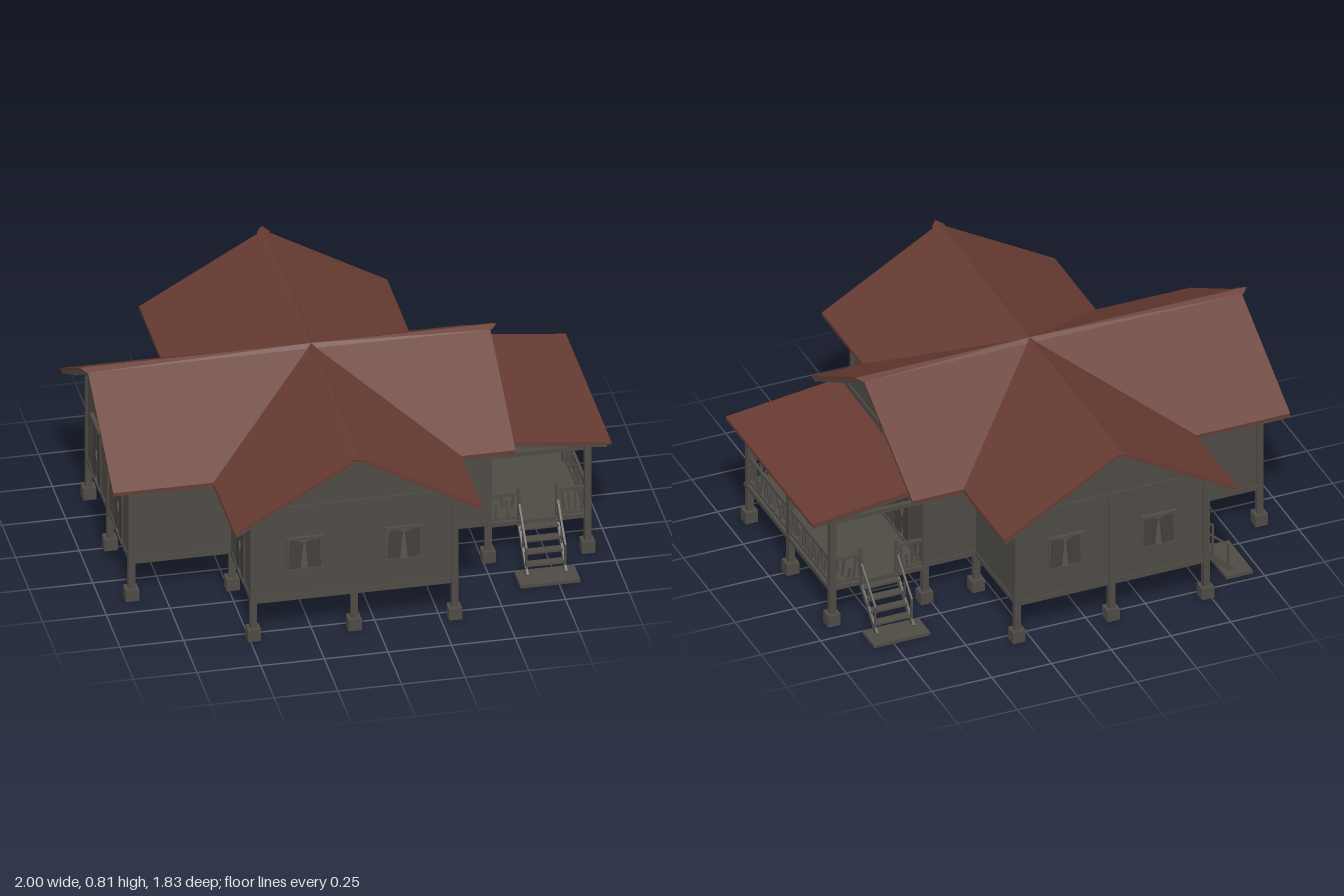
import * as THREE from 'three';
import { ConvexGeometry } from 'three/addons/geometries/ConvexGeometry.js';

const mat = (name, color) => {
  const m = new THREE.MeshStandardMaterial({ color });
  m.name = name;
  return m;
};
const V = (x, y, z) => new THREE.Vector3(x, y, z);

export function createModel() {
  const house = new THREE.Group();
  house.name = 'stiltHouse';
  const wood = mat('weatheredWood', 0x4e4b45);
  const shutterWood = mat('darkShutterWood', 0x43403b);
  const tile = mat('redBrownRoof', 0x673b32);

  const add = (parent, name, geo, material) => {
    const m = new THREE.Mesh(geo, material);
    m.name = name;
    parent.add(m);
    return m;
  };
  const box = (parent, name, w, h, d, x, y, z, material = wood) => {
    const m = add(parent, name, new THREE.BoxGeometry(w, h, d), material);
    m.position.set(x, y, z);
    return m;
  };
  // Square beam between two points
  const beam = (parent, name, a, b, w, h = w, material = wood) => {
    const m = add(parent, name, new THREE.BoxGeometry(w, h, a.distanceTo(b)), material);
    m.position.addVectors(a, b).multiplyScalar(0.5);
    m.quaternion.setFromRotationMatrix(new THREE.Matrix4().lookAt(b, a, V(0, 1, 0)));
  };
  const plate = (pts, depth, holes = []) => {
    const s = new THREE.Shape(pts.map(p => new THREE.Vector2(...p)));
    holes.forEach(h => s.holes.push(new THREE.Path(h.map(p => new THREE.Vector2(...p)))));
    return new THREE.ExtrudeGeometry(s, { depth, bevelEnabled: false }).translate(0, 0, -depth / 2);
  };
  // Flat slab hanging down from its top corners
  const slab = (parent, name, top, t, material) => add(parent, name,
    new ConvexGeometry([...top, ...top.map(p => V(p.x, p.y - t, p.z))]), material);

  // Plan: a cross of two wings
  const CX = -0.09, H = 0.395, L = -0.88, R = 0.52, F = 0.79;
  const W = CX - H, E = CX + H;
  const floorY = 0.16, wallTop = 0.568;

  const floor = add(house, 'floor', plate([[L, -H], [W, -H], [W, -F], [E, -F], [E, -H], [R, -H],
    [R, H], [E, H], [E, F], [W, F], [W, H], [L, H]], 0.018), wood);
  floor.rotation.x = Math.PI / 2;
  floor.position.y = floorY;
  box(house, 'porchFloor', 0.41, 0.018, 0.82, 0.72, floorY, 0);

  // Ragged pair of shutters in an opening
  const opening = (wall, u, tall) => {
    const y0 = tall ? 0.18 : 0.29, y1 = tall ? 0.44 : 0.43, w = 0.065, h = y1 - y0;
    box(wall, 'lintel', 0.15, 0.01, 0.03, u, y1, 0.006);
    box(wall, 'windowSill', 0.15, 0.01, 0.024, u, y0, 0.004);
    for (const s of [-1, 1]) {
      box(wall, 'windowFrame', 0.01, h, 0.02, u + s * w, (y0 + y1) / 2, 0);
      const leaf = tall
        ? [[-w, 0], [-0.012, 0.01], [-0.004, h * 0.35], [-0.018, h * 0.5], [-0.003, h * 0.7], [-0.006, h * 0.97], [-0.055, h * 0.93], [-w, h * 0.5]]
        : [[-w, 0.004], [-0.016, 0], [-0.004, h * 0.85], [-0.02, h * 0.88], [-0.055, h * 0.97]];
      const pts = leaf.map(([x, y]) => [s * -x, y]);
      add(wall, 'shutter', plate(pts, 0.006), shutterWood).position.set(u, y0, 0.008);
    }
    return [[u - w, y0], [u + w, y0], [u + w, y1], [u - w, y1]];
  };

  const wall = (name, x, z, turn, half, gable, openings = [], tall = true) => {
    const g = new THREE.Group();
    g.name = name;
    g.position.set(x, 0, z);
    g.rotation.y = turn * Math.PI / 2;
    house.add(g);
    const pts = [[-half, floorY], [half, floorY], [half, wallTop]];
    if (gable) pts.push([0, 0.793]);
    pts.push([-half, wallTop]);
    add(g, 'wallPanel', plate(pts, 0.012, openings.map(u => opening(g, u, tall))), wood);
    box(g, 'bottomRail', half * 2, 0.02, 0.02, 0, 0.17, 0);
    if (gable) box(g, 'tieBeam', half * 2, 0.016, 0.024, 0, 0.565, 0);
  };
  wall('frontGable', CX, F, 0, H, true, [-0.195, 0.195], false);
  wall('backGable', CX, -F, 2, H, true, [-0.195, 0.195], false);
  wall('leftEndGable', R, 0, 1, H, true, [-0.2, 0.2]);
  wall('rightEndGable', L, 0, -1, H, true, [-0.2, 0.2]);
  const mid = (F + H) / 2, half = (F - H) / 2;
  wall('frontWingLeftWall', E, mid, 1, half, false, [0]);
  wall('backWingLeftWall', E, -mid, 1, half, false);
  wall('frontWingRightWall', W, mid, -1, half, false, [0]);
  wall('backWingRightWall', W, -mid, -1, half, false, [0]);
  for (const s of [1, -1]) {
    const turn = s > 0 ? 0 : 2;
    wall('rightWingSideWall', (L + W) / 2, s * H, turn, (W - L) / 2, false);
    wall('leftWingSideWall', (R + E) / 2, s * H, turn, (R - E) / 2, false);
  }

  // Stilts on square feet
  const post = (x, z, top) => {
    box(house, 'post', 0.026, top, 0.026, x, top / 2, z);
    box(house, 'postFoot', 0.052, 0.05, 0.052, x, 0.025, z);
  };
  for (const s of [-1, 1]) {
    for (const x of [L, W, E, R]) post(x, s * H, 0.56);
    for (const x of [W, CX, E]) post(x, s * F, 0.56);
    post(0.91, s * 0.4, 0.475);
  }
  post(L, 0, 0.56);
  post(R, 0, 0.56);
  post(0.91, 0, 0.475);

  // Crossed gable roof: two faces for each wing, meeting in valleys
  const top = 0.81, eave = 0.53, O = 0.487;
  const wings = [[1, 0, 0.70], [-1, 0, 0.88], [0, 1, 0.885], [0, -1, 0.885]];
  for (const [dx, dz, len] of wings) {
    const P = (along, side, y) => V(CX + dx * along - dz * side, y, dz * along + dx * side);
    for (const s of [-1, 1]) {
      slab(house, 'roofFace', [P(0, 0, top), P(len, 0, top), P(len, s * O, eave), P(O, s * O, eave)], 0.014, tile);
      beam(house, 'bargeBoard', P(len - 0.012, 0, top - 0.024), P(len - 0.012, s * (O - 0.005), eave - 0.015), 0.012, 0.016);
      beam(house, 'eavePurlin', P(O - 0.03, s * 0.455, 0.523), P(len - 0.045, s * 0.455, 0.523), 0.016);
    }
    // Ridge cap with a pointed, overhanging tip
    const cap = [];
    for (const a of [0, len]) cap.push(P(a, 0.018, 0.801), P(a, -0.018, 0.801), P(a, 0, 0.814));
    cap.push(P(len + 0.028, 0, 0.813), P(len + 0.004, 0.025, 0.802), P(len + 0.004, -0.025, 0.802), P(len, 0, 0.794));
    add(house, 'ridgeCap', new ConvexGeometry(cap), tile);
  }

  // Lean-to porch roof and its frame
  slab(house, 'porchRoof', [V(0.525, 0.538, -0.42), V(0.525, 0.538, 0.42), V(1, 0.482, 0.42), V(1, 0.482, -0.42)], 0.013, tile);
  for (const z of [-0.4, 0, 0.4]) {
    beam(house, 'porchRafter', V(R, 0.518, z), V(0.985, 0.463, z), 0.018);
    beam(house, 'porchTieBeam', V(R, 0.462, z), V(0.92, 0.462, z), 0.018);
  }
  box(house, 'porchFrontBeam', 0.02, 0.02, 0.82, 0.91, 0.464, 0);

  // Porch railings with uneven, worn balusters
  let seed = 7;
  const rnd = () => (seed = (seed * 16807) % 2147483647) / 2147483647;
  const railing = (a, b, n) => {
    const up = (p, y) => V(p.x, y, p.z);
    beam(house, 'handrail', up(a, 0.285), up(b, 0.285), 0.012);
    beam(house, 'lowerRail', up(a, 0.18), up(b, 0.18), 0.01);
    for (let i = 1; i < n; i++) {
      const p = a.clone().lerp(b, i / n), h = 0.05 + 0.055 * rnd();
      const y = rnd() < 0.5 ? 0.18 + h / 2 : 0.285 - h / 2;
      const m = box(house, 'baluster', 0.008, h, 0.008, p.x, y, p.z);
      m.rotation.set((rnd() - 0.5) * 0.25, 0, (rnd() - 0.5) * 0.25);
    }
  };
  railing(V(0.91, 0, -0.4), V(0.91, 0, 0), 13);
  railing(V(0.91, 0, 0), V(0.91, 0, 0.4), 13);
  for (const z of [-0.4, 0.4]) {
    railing(V(0.53, 0, z), V(0.64, 0, z), 5);
    railing(V(0.79, 0, z), V(0.91, 0, z), 5);
    for (const x of [0.64, 0.79]) box(house, 'railPost', 0.012, 0.15, 0.012, x, 0.235, z);
  }

  // Stairs descending along local +z onto a ground slab
  const stairs = (name, x, z, turn) => {
    const g = new THREE.Group();
    g.name = name;
    g.position.set(x, 0, z);
    g.rotation.y = turn * Math.PI / 2;
    house.add(g);
    box(g, 'groundSlab', 0.235, 0.014, 0.112, 0, 0.007, 0.174);
    for (const s of [-0.076, 0.076]) {
      beam(g, 'stringer', V(s, 0.155, 0), V(s, 0.012, 0.16), 0.01, 0.022);
      beam(g, 'stairRail', V(s, 0.245, 0.01), V(s, 0.125, 0.148), 0.008);
      box(g, 'stairRailPost', 0.008, 0.1, 0.008, s, 0.078, 0.145);
      box(g, 'stairRailPost', 0.008, 0.1, 0.008, s, 0.19, 0.015);
      box(g, 'stairRailPost', 0.007, 0.09, 0.007, s, 0.135, 0.08);
    }
    for (let i = 0; i < 4; i++) box(g, 'tread', 0.15, 0.008, 0.036, 0, 0.145 - i * 0.033, 0.018 + i * 0.037);
  };
  stairs('porchFrontStairs', 0.715, 0.405, 0);
  stairs('porchBackStairs', 0.715, -0.4, 2);
  stairs('backDoorStairs', W, -0.6, -1);

  return house;
}
